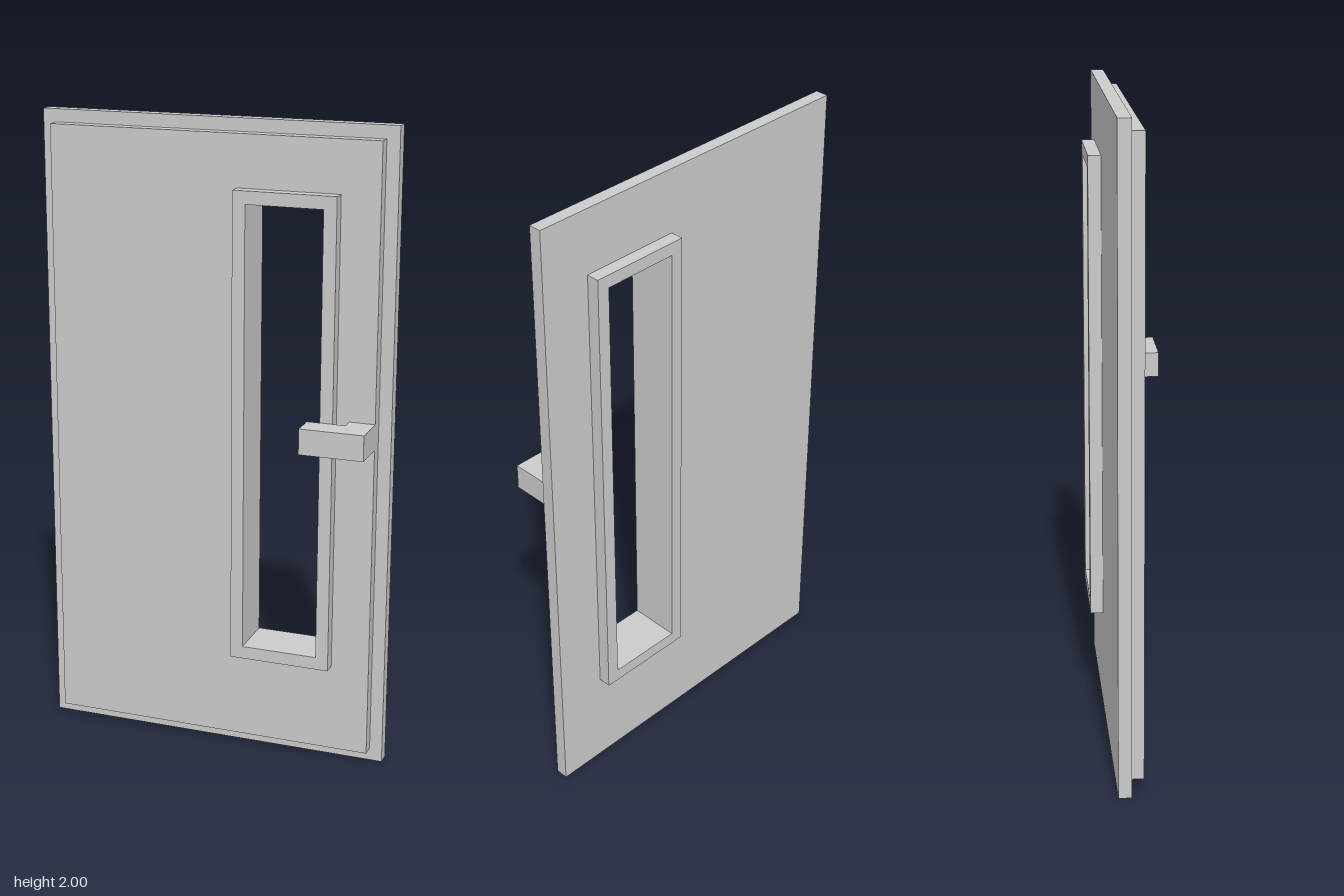
import * as THREE from 'three';

const material = new THREE.MeshStandardMaterial({ color: 0xcccccc, flatShading: true });

function tracePath(path, points) {
  points.forEach(([x, y], i) => (i ? path.lineTo(x, y) : path.moveTo(x, y)));
  path.closePath();
  return path;
}

const rect = (x0, y0, x1, y1) => [[x0, y0], [x1, y0], [x1, y1], [x0, y1]];

// Upright slab between two depths, with a rectangular opening
function openSlab(name, outer, opening, back, front) {
  const shape = tracePath(new THREE.Shape(), rect(...outer));
  shape.holes.push(tracePath(new THREE.Path(), rect(...opening).reverse()));
  const geometry = new THREE.ExtrudeGeometry(shape, { depth: front - back, bevelEnabled: false });
  geometry.translate(0, 0, back);
  const mesh = new THREE.Mesh(geometry, material);
  mesh.name = name;
  return mesh;
}

export function createModel() {
  const door = new THREE.Group();
  door.name = 'door';

  const frameOuter = [0.08, 0.32, 0.4, 1.8];
  const glassOpening = [0.12, 0.36, 0.36, 1.76];

  // Wide rear panel and the slightly smaller front panel
  door.add(openSlab('rearPanel', [-0.56, 0, 0.56, 2], frameOuter, -0.08, -0.04));
  door.add(openSlab('frontPanel', [-0.52, 0.04, 0.52, 1.96], frameOuter, -0.04, 0));

  // Window frame passing through both panels
  door.add(openSlab('windowFrame', frameOuter, glassOpening, -0.12, 0.04));

  // L-shaped handle: plan outline as (x, -z), extruded upwards
  const plan = tracePath(new THREE.Shape(), [
    [0.32, -0.12], [0.52, -0.12], [0.52, 0], [0.44, 0], [0.44, -0.04], [0.32, -0.04],
  ]);
  const handleGeometry = new THREE.ExtrudeGeometry(plan, { depth: 0.08, bevelEnabled: false });
  handleGeometry.rotateX(-Math.PI / 2).translate(0, 1.04, 0);
  const handle = new THREE.Mesh(handleGeometry, material);
  handle.name = 'handle';
  door.add(handle);

  return door;
}
